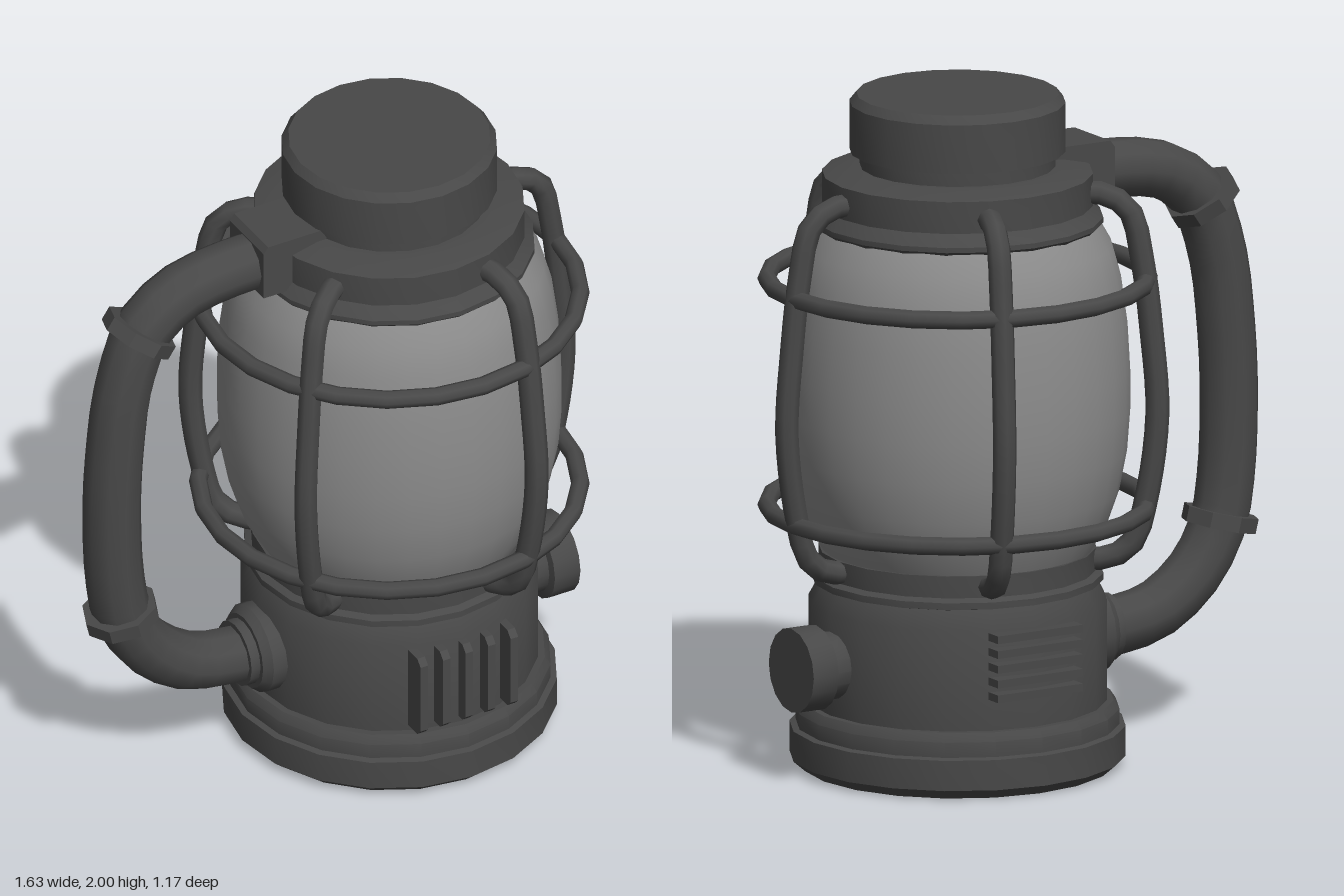
import * as THREE from 'three';
import { toCreasedNormals } from 'three/addons/utils/BufferGeometryUtils.js';

const AXIS_X = 0.195; // lantern body axis
const dark = new THREE.MeshStandardMaterial({ color: 0x484848 });
const glass = new THREE.MeshStandardMaterial({ color: 0x8c8c8c });

function add(parent, name, geometry, material = dark) {
  const mesh = new THREE.Mesh(geometry, material);
  mesh.name = name;
  parent.add(mesh);
  return mesh;
}

// Lathe from [radius, height] pairs, listed bottom to top
function turned(profile, sides, crease = 0.6) {
  const points = profile.map(([r, y]) => new THREE.Vector2(r, y));
  return toCreasedNormals(new THREE.LatheGeometry(points, sides), crease);
}

function tube(points, radius, segments, sides) {
  const curve = new THREE.CatmullRomCurve3(points.map(([x, y]) => new THREE.Vector3(x, y, 0)));
  return new THREE.TubeGeometry(curve, segments, radius, sides);
}

export function createModel() {
  const model = new THREE.Group();
  model.name = 'lantern';
  const body = new THREE.Group();
  body.name = 'body';
  body.position.x = AXIS_X;
  model.add(body);

  // Turned body parts
  add(body, 'base', turned([
    [0, 0], [0.455, 0], [0.49, 0.03], [0.49, 0.12], [0.472, 0.125], [0.472, 0.17],
    [0.455, 0.195], [0.435, 0.195], [0.435, 0.495], [0.405, 0.55], [0.425, 0.555],
    [0.425, 0.575], [0.405, 0.585], [0.405, 0.65], [0, 0.65],
  ], 20));
  add(body, 'glassGlobe', turned([
    [0.39, 0.64], [0.435, 0.72], [0.47, 0.82], [0.493, 0.94], [0.502, 1.06],
    [0.502, 1.18], [0.494, 1.32], [0.475, 1.46], [0.45, 1.55], [0.41, 1.62],
  ], 32, 1), glass);
  add(body, 'upperCollar', turned([
    [0, 1.59], [0.395, 1.59], [0.425, 1.62], [0.425, 1.635], [0.395, 1.67], [0.395, 1.765],
    [0.31, 1.785], [0.285, 1.785], [0.285, 1.84], [0, 1.84],
  ], 20));
  add(body, 'topCap', turned([
    [0, 1.83], [0.315, 1.83], [0.315, 1.975], [0.295, 2], [0, 2],
  ], 20));

  // Cage: two hoops and five bent bars
  for (const [name, y] of [['lowerHoop', 0.775], ['upperHoop', 1.45]]) {
    const hoop = add(body, name, new THREE.TorusGeometry(0.555, 0.027, 8, 24));
    hoop.rotation.x = Math.PI / 2;
    hoop.position.y = y;
  }
  const bar = tube([
    [0.36, 1.71], [0.43, 1.705], [0.5, 1.66], [0.54, 1.5], [0.565, 1.3], [0.582, 1.05],
    [0.55, 0.8], [0.51, 0.67], [0.45, 0.625], [0.36, 0.615],
  ], 0.035, 24, 8);
  for (let i = 0; i < 5; i++) {
    add(body, 'cageBar', bar).rotation.y = (i * Math.PI * 2) / 5;
  }

  // Front and back vent ribs
  for (let i = -2; i <= 2; i++) {
    const shape = new THREE.Shape([
      [0.38, 0.215], [0.455, 0.215], [0.475, 0.235], [0.475, 0.46], [0.455, 0.48], [0.38, 0.48],
    ].map(([z, y]) => new THREE.Vector2(z, y)));
    const geometry = new THREE.ExtrudeGeometry(shape, { depth: 0.025, bevelEnabled: false });
    geometry.rotateY(-Math.PI / 2).translate(i * 0.075 + 0.0125, 0, 0);
    add(body, 'frontVentRib', geometry);
    add(body, 'backVentRib', new THREE.BoxGeometry(0.29, 0.023, 0.08))
      .position.set(0, 0.387 + i * 0.044, -0.42);
  }

  // Side knob, turned about the x axis
  const knob = add(model, 'knob', turned([
    [0, 0], [0.085, 0], [0.1, 0.025], [0.1, 0.075], [0.125, 0.08], [0.125, 0.165], [0, 0.165],
  ], 16));
  knob.rotation.z = -Math.PI / 2;
  knob.position.set(0.597, 0.345, 0);

  // Handle grip with two clamps and its mounts
  const handle = new THREE.Group();
  handle.name = 'handle';
  model.add(handle);
  add(handle, 'handleTube', tube([
    [-0.2, 1.715], [-0.36, 1.71], [-0.5, 1.685], [-0.62, 1.6], [-0.69, 1.42], [-0.72, 1.2],
    [-0.73, 1], [-0.72, 0.75], [-0.69, 0.6], [-0.61, 0.47], [-0.48, 0.375], [-0.34, 0.345], [-0.2, 0.335],
  ], 0.087, 28, 10));
  for (const [x, y, tilt] of [[-0.64, 1.585, -0.6], [-0.7, 0.62, 0.24]]) {
    const clamp = add(handle, 'handleClamp',
      toCreasedNormals(new THREE.CylinderGeometry(0.113, 0.113, 0.045, 8), 0.5));
    clamp.position.set(x, y, 0);
    clamp.rotation.z = tilt;
  }
  const mountShape = new THREE.Shape([
    [-0.28, 1.645], [-0.06, 1.645], [-0.06, 1.775], [-0.09, 1.82], [-0.265, 1.82], [-0.28, 1.8],
  ].map(([x, y]) => new THREE.Vector2(x, y)));
  const mount = new THREE.ExtrudeGeometry(mountShape, { depth: 0.2, bevelEnabled: false });
  add(handle, 'upperMount', mount.translate(0, 0, -0.1));
  const flange = add(handle, 'lowerMount', turned([
    [0, 0], [0.135, 0], [0.135, 0.075], [0.115, 0.1], [0.1, 0.1], [0.1, 0.13], [0, 0.13],
  ], 16));
  flange.rotation.z = Math.PI / 2;
  flange.position.set(-0.19, 0.345, 0);

  return model;
}
